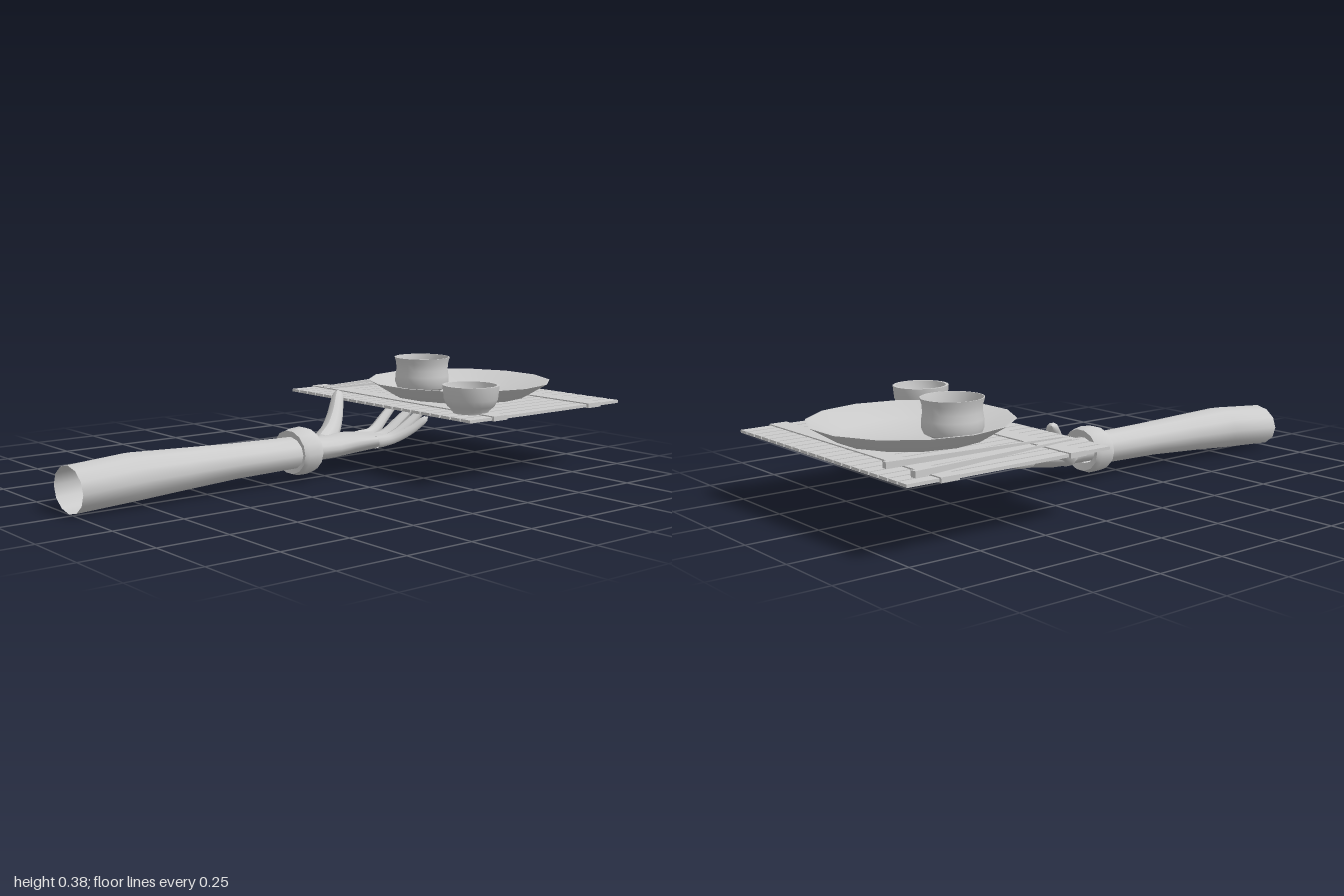
import * as THREE from 'three';
import { toCreasedNormals } from 'three/addons/utils/BufferGeometryUtils.js';

const material = new THREE.MeshStandardMaterial({ color: 0xcccccc, side: THREE.DoubleSide });

function add(parent, name, geometry, x = 0, y = 0, z = 0) {
  const mesh = new THREE.Mesh(geometry, material);
  mesh.name = name;
  mesh.position.set(x, y, z);
  parent.add(mesh);
  return mesh;
}

// Skin of elliptical sections along x: [x, yLow, yHigh, zLow, zHigh, cup]
function loft(sections, sides) {
  const pos = [], index = [];
  for (const [x, y0, y1, z0, z1, cup = 0] of sections) {
    for (let j = 0; j < sides; j++) {
      const a = (j / sides) * Math.PI * 2, c = Math.cos(a);
      pos.push(x, (y0 + y1) / 2 + Math.sin(a) * (y1 - y0) / 2 + cup * c * c, (z0 + z1) / 2 + c * (z1 - z0) / 2);
    }
  }
  for (let i = 0; i < sections.length - 1; i++) {
    for (let j = 0; j < sides; j++) {
      const k = (j + 1) % sides, a = i * sides, b = a + sides;
      index.push(a + j, b + j, a + k, b + j, b + k, a + k);
    }
  }
  const g = new THREE.BufferGeometry();
  g.setAttribute('position', new THREE.Float32BufferAttribute(pos, 3));
  g.setIndex(index);
  g.computeVertexNormals();
  return g;
}

// Tube that narrows from r0 to r1 and closes in a rounded tip
function digit(points, r0, r1) {
  const curve = new THREE.CatmullRomCurve3(points.map(p => new THREE.Vector3(...p)));
  const rings = 18, sides = 10;
  const g = new THREE.TubeGeometry(curve, rings, 1, sides);
  const p = g.attributes.position, v = new THREE.Vector3();
  for (let i = 0; i <= rings; i++) {
    const t = i / rings, c = curve.getPointAt(t);
    const tip = Math.sqrt(Math.max(0, 1 - Math.max(0, (t - 0.86) / 0.14) ** 2));
    const r = THREE.MathUtils.lerp(r0, r1, t) * tip;
    for (let j = 0; j <= sides; j++) {
      const k = i * (sides + 1) + j;
      v.fromBufferAttribute(p, k).sub(c).multiplyScalar(r).add(c);
      p.setXYZ(k, v.x, v.y, v.z);
    }
  }
  g.computeVertexNormals();
  return g;
}

function turned(profile, sides) {
  const g = new THREE.LatheGeometry(profile.map(p => new THREE.Vector2(...p)), sides);
  return toCreasedNormals(g, 0.7);
}

function createArm() {
  const arm = new THREE.Group();
  arm.name = 'arm';
  add(arm, 'sleeve', loft([
    [-1, 0.0, 0.156, -0.122, 0.074],
    [-0.78, 0.012, 0.173, -0.117, 0.078],
    [-0.6, 0.024, 0.167, -0.1, 0.072],
    [-0.4, 0.036, 0.16, -0.087, 0.066],
    [-0.12, 0.042, 0.155, -0.084, 0.062],
  ], 12));
  const cuff = loft([
    [-0.142, 0.045, 0.15, -0.08, 0.06],
    [-0.149, 0.024, 0.178, -0.102, 0.082],
    [-0.13, 0.018, 0.183, -0.107, 0.087],
    [-0.09, 0.018, 0.186, -0.106, 0.086],
    [-0.068, 0.027, 0.178, -0.1, 0.08],
    [-0.076, 0.055, 0.15, -0.078, 0.058],
  ], 14);
  add(arm, 'cuff', toCreasedNormals(cuff, 0.8));

  // Hand, palm up, with a slightly cupped palm
  const hand = new THREE.Group();
  hand.name = 'hand';
  arm.add(hand);
  add(hand, 'palm', loft([
    [-0.11, 0.06, 0.146, -0.074, 0.056],
    [-0.03, 0.062, 0.143, -0.075, 0.058],
    [0.03, 0.062, 0.142, -0.085, 0.062],
    [0.09, 0.066, 0.143, -0.103, 0.073, 0.006],
    [0.15, 0.073, 0.138, -0.1, 0.09, 0.012],
    [0.21, 0.08, 0.132, -0.088, 0.102, 0.014],
    [0.26, 0.087, 0.127, -0.08, 0.1, 0.014],
    [0.28, 0.1, 0.12, -0.06, 0.08, 0.012],
    [0.284, 0.11, 0.11, 0.01, 0.01],
  ], 16));
  const fingers = {
    indexFinger: [[0.2, 0.111, -0.055], [0.27, 0.118, -0.062], [0.345, 0.165, -0.08], [0.425, 0.226, -0.096]],
    middleFinger: [[0.2, 0.105, -0.012], [0.28, 0.112, -0.012], [0.365, 0.165, -0.01], [0.452, 0.228, -0.006]],
    ringFinger: [[0.2, 0.105, 0.034], [0.27, 0.111, 0.042], [0.35, 0.16, 0.056], [0.428, 0.224, 0.066]],
    littleFinger: [[0.18, 0.113, 0.075], [0.24, 0.12, 0.09], [0.305, 0.151, 0.12], [0.365, 0.197, 0.145]],
  };
  for (const [name, points] of Object.entries(fingers)) {
    const small = name === 'littleFinger' ? 0.88 : 1;
    add(hand, name, digit(points, 0.025 * small, 0.0145 * small));
  }
  add(hand, 'thumb', digit(
    [[0.03, 0.106, -0.05], [0.095, 0.14, -0.088], [0.15, 0.185, -0.13], [0.195, 0.232, -0.172], [0.235, 0.262, -0.213]],
    0.043, 0.019));
  return arm;
}

function createMat() {
  const mat = new THREE.Group();
  mat.name = 'slattedMat';
  add(mat, 'backing', new THREE.BoxGeometry(0.76, 0.004, 0.99), 0.615, 0.231, 0);
  for (let i = 0; i < 20; i++) {
    add(mat, 'slat', new THREE.BoxGeometry(0.768, 0.01, 0.042), 0.615, 0.235, -0.475 + i * 0.05);
  }
  for (const x of [0.37, 0.855]) {
    add(mat, 'strap', new THREE.BoxGeometry(0.065, 0.017, 1.01), x, 0.2355, 0);
  }
  return mat;
}

function createTableware() {
  const set = new THREE.Group();
  set.name = 'tableware';
  add(set, 'plate', turned([
    [0, 0.243], [0.25, 0.243], [0.345, 0.3], [0.335, 0.3], [0.24, 0.256], [0, 0.25],
  ], 14), 0.625, 0, 0.033);
  add(set, 'cup', turned([
    [0, 0.252], [0.07, 0.252], [0.095, 0.265], [0.103, 0.285], [0.102, 0.31], [0.098, 0.335],
    [0.1, 0.36], [0.106, 0.381], [0.102, 0.381], [0.094, 0.35], [0.093, 0.315], [0.08, 0.28], [0.045, 0.264], [0, 0.26],
  ], 24), 0.55, 0, -0.093);
  add(set, 'bowl', turned([
    [0, 0.24], [0.062, 0.24], [0.064, 0.248], [0.083, 0.265], [0.095, 0.29], [0.1, 0.338],
    [0.09, 0.338], [0.084, 0.3], [0.07, 0.272], [0.04, 0.256], [0, 0.252],
  ], 20), 0.355, 0, 0.373);

  // Square sticks, thin at the arm side and thick at the far end
  for (const [z0, z1] of [[-0.388, -0.456], [-0.345, -0.306]]) {
    const dx = 0.65, dz = z1 - z0;
    const g = new THREE.CylinderGeometry(0.0145, 0.003, Math.hypot(dx, dz), 4);
    g.rotateY(Math.PI / 4);
    g.rotateZ(-Math.PI / 2);
    const stick = add(set, 'chopstick', toCreasedNormals(g, 0.5), 0.625, 0.2545, (z0 + z1) / 2);
    stick.rotation.y = -Math.atan2(dz, dx);
  }
  return set;
}

export function createModel() {
  const model = new THREE.Group();
  model.name = 'handHoldingServingMat';
  model.add(createArm(), createMat(), createTableware());
  return model;
}
